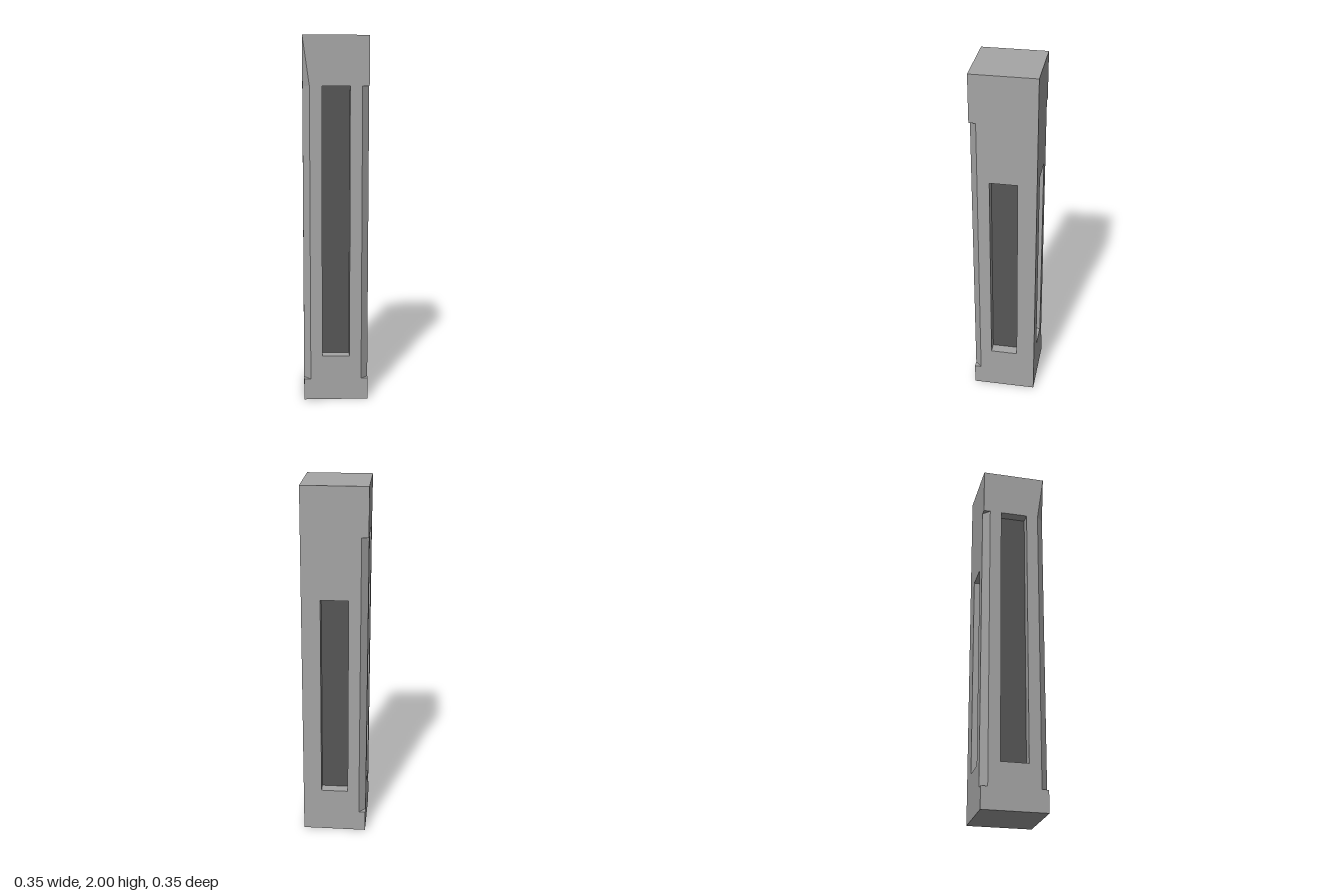
import * as THREE from 'three';

const H = 0.177;             // half width of the pillar
const TOP = 2;
const C = 0.14;              // where the corner chamfers start
const LOW = 0.12, HIGH = 1.737; // chamfer bottom and top
const W = 0.075;             // half width of the recesses
const SILL = 0.252;          // recess bottom
const D = 0.12;              // distance of the recess back from the axis

const stone = new THREE.MeshStandardMaterial({ name: 'stoneGrey', color: 0xa6a6a6 });
const dark = new THREE.MeshStandardMaterial({ name: 'recessDarkGrey', color: 0x575757 });

// flat polygons, corners counter-clockwise from outside
function polygons(list) {
  const pos = [];
  for (const p of list)
    for (let i = 1; i < p.length - 1; i++) pos.push(...p[0], ...p[i], ...p[i + 1]);
  const g = new THREE.BufferGeometry();
  g.setAttribute('position', new THREE.Float32BufferAttribute(pos, 3));
  g.computeVertexNormals();
  return g;
}

function add(parent, name, geometry, material) {
  const m = new THREE.Mesh(geometry, material);
  m.name = name;
  parent.add(m);
  return m;
}

// outline points of one edge of a side, from bottom to top
function edge(kind, s) {
  const pts = [[s * H, 0]];
  if (kind !== 'plain') pts.push([s * H, LOW], [s * C, LOW], [s * C, HIGH]);
  if (kind === 'notch') pts.push([s * H, HIGH]);
  pts.push([s * H, TOP]);
  return pts.map(([x, y]) => new THREE.Vector2(x, y));
}

// one side of the pillar with its sunken panel
function side(name, angle, left, right, head) {
  const g = new THREE.Group();
  g.name = name;
  g.rotation.y = angle;

  const shape = new THREE.Shape([...edge(right, 1), ...edge(left, -1).reverse()]);
  shape.holes.push(new THREE.Path([[-W, SILL], [-W, head], [W, head], [W, SILL]]
    .map(([x, y]) => new THREE.Vector2(x, y))));
  add(g, 'sideFace', new THREE.ShapeGeometry(shape).translate(0, 0, H), stone);

  // walls of the recess
  const rim = [[-W, SILL], [W, SILL], [W, head], [-W, head]];
  add(g, 'recessWalls', polygons(rim.map((p, i) => {
    const q = rim[(i + 1) % 4];
    return [[...p, H], [...q, H], [...q, D], [...p, D]];
  })), stone);

  // dark back of the recess
  const back = new THREE.PlaneGeometry(2 * W, head - SILL);
  add(g, 'recessBack', back.translate(0, (SILL + head) / 2, D), dark);
  return g;
}

// cut corner; a tapered one runs out to a point at the top
function corner(parent, name, angle, tapered) {
  const a = y => [C, y, H], b = y => [H, y, C], k = y => [H, y, H];
  const mid = [(C + H) / 2, HIGH, (C + H) / 2];
  const faces = [
    [a(LOW), b(LOW), b(HIGH), a(HIGH)],
    [a(LOW), k(LOW), b(LOW)],
  ];
  if (tapered) faces.push([a(HIGH), mid, k(TOP)], [mid, b(HIGH), k(TOP)]);
  else faces.push([b(HIGH), k(HIGH), a(HIGH)]);
  add(parent, name, polygons(faces), stone).rotation.y = angle;
}

export function createModel() {
  const model = new THREE.Group();
  model.name = 'pillar';

  const q = Math.PI / 2;
  model.add(
    side('frontSide', 0, 'taper', 'notch', HIGH),
    side('leftSide', q, 'notch', 'plain', 1.397),
    side('backSide', 2 * q, 'plain', 'notch', 1.397),
    side('rightSide', -q, 'notch', 'taper', HIGH),
  );

  corner(model, 'frontLeftChamfer', 0, false);
  corner(model, 'frontRightChamfer', -q, true);
  corner(model, 'backRightChamfer', 2 * q, false);

  // end caps
  const cap = () => new THREE.PlaneGeometry(2 * H, 2 * H);
  add(model, 'topCap', cap().rotateX(-q).translate(0, TOP, 0), stone);
  add(model, 'bottomCap', cap().rotateX(q), stone);
  return model;
}
